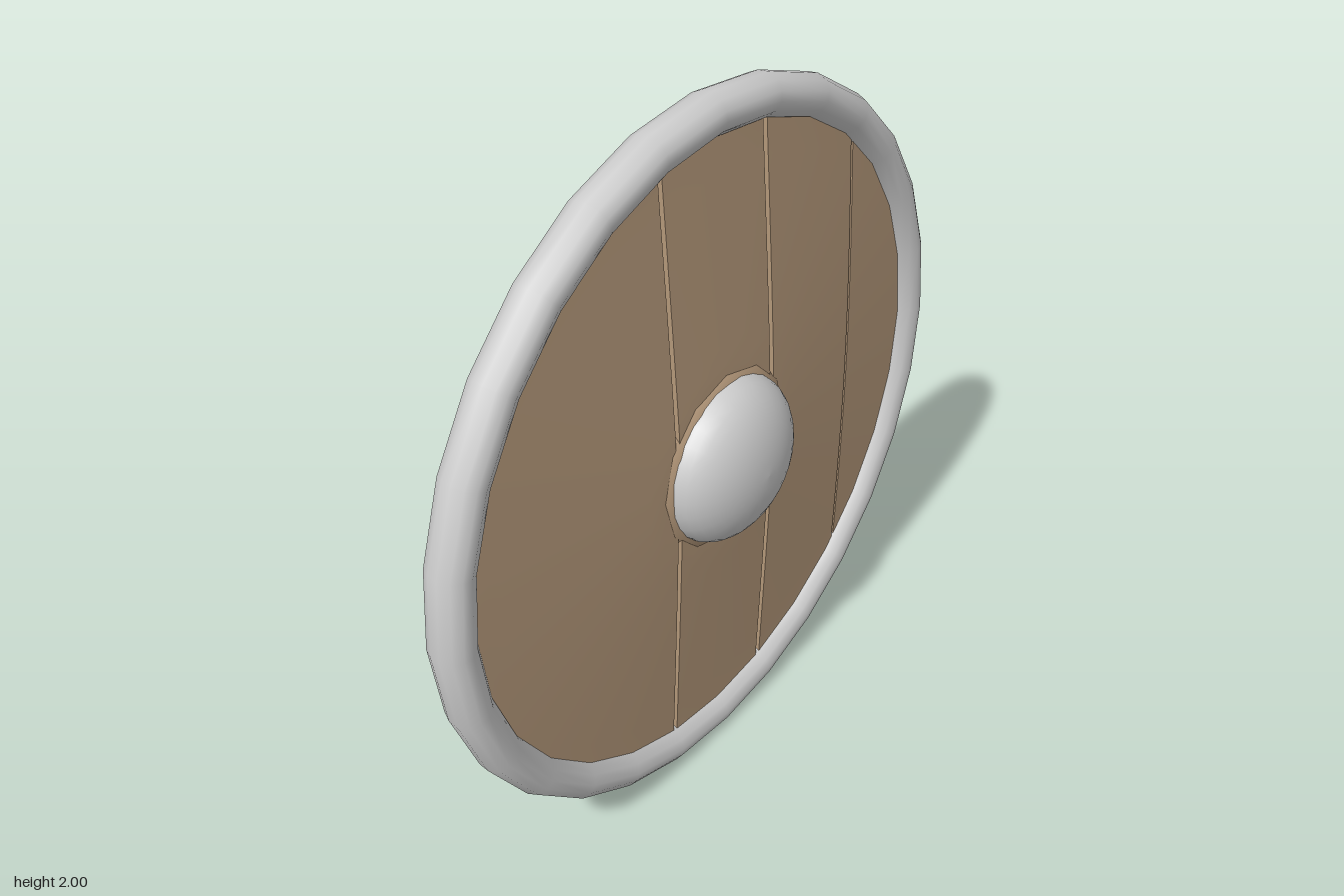
import * as THREE from 'three';
import { toCreasedNormals } from 'three/addons/utils/BufferGeometryUtils.js';

const grey = new THREE.MeshStandardMaterial({ color: 0xcccccc });
const wood = new THREE.MeshStandardMaterial({ color: 0xb4987a });
const woodThin = new THREE.MeshStandardMaterial({ color: 0xb4987a, side: THREE.DoubleSide });

const BOARD_R = 0.91;

// Front of the board: highest around the boss, sinking towards the rim
function boardFront(x, y) {
  const t = Math.max(0, (Math.hypot(x, y) - 0.25) / 0.65);
  return -0.005 - 0.035 * Math.min(1, t);
}

// One plank: a box bent to the round outline and the sloping front
function plankGeometry(x0, x1) {
  const geo = new THREE.BoxGeometry(1, 1, 1, 14, 32, 1);
  const p = geo.attributes.position;
  for (let i = 0; i < p.count; i++) {
    const x = x0 + (p.getX(i) + 0.5) * (x1 - x0);
    const half = Math.sqrt(Math.max(0, BOARD_R ** 2 - x * x));
    const y = p.getY(i) * 2 * half;
    p.setXYZ(i, x, y, p.getZ(i) > 0 ? boardFront(x, y) : -0.08);
  }
  return toCreasedNormals(geo, 0.6);
}

// Ring or dome turned about the z axis; points are [radius, z]
function turned(points, sides) {
  const geo = new THREE.LatheGeometry(points.map(([r, z]) => new THREE.Vector2(r, z)), sides);
  return geo.rotateX(Math.PI / 2);
}

// Uneven back panel: fan of rings from a bulged centre to an irregular outline
function backGeometry() {
  const outline = [
    [0.96, 0.136], [0.548, 0.788], [0.123, 0.946], [-0.084, 0.945], [-0.735, 0.575], [-0.916, 0.216],
    [-0.79, -0.54], [-0.22, -0.945], [0.277, -0.906], [0.832, -0.4], [0.948, -0.125],
  ];
  const n = outline.length, rings = 6;
  const pos = [0, 0, -0.133], index = [];
  for (let k = 1; k <= rings; k++) {
    const t = k / rings;
    for (const [x, y] of outline) pos.push(x * t, y * t, -0.133 + 0.013 * t * t);
  }
  for (let j = 0; j < n; j++) {
    const m = (j + 1) % n;
    index.push(0, 1 + j, 1 + m);
    for (let k = 0; k < rings - 1; k++) {
      const a = 1 + k * n + j, b = 1 + k * n + m;
      index.push(a, a + n, b, b, a + n, b + n);
    }
  }
  // Outline runs anticlockwise from the front, so flip it to face -z
  for (let i = 0; i < index.length; i += 3) [index[i], index[i + 1]] = [index[i + 1], index[i]];
  const geo = new THREE.BufferGeometry();
  geo.setAttribute('position', new THREE.Float32BufferAttribute(pos, 3));
  geo.setIndex(index);
  geo.computeVertexNormals();
  return geo;
}

export function createModel() {
  const shield = new THREE.Group();
  shield.name = 'roundShield';
  const add = (name, geo, mat) => {
    const mesh = new THREE.Mesh(geo, mat);
    mesh.name = name;
    mesh.position.y = 1;
    shield.add(mesh);
    return mesh;
  };

  // Planks, parted by narrow seams
  const spans = [[-BOARD_R, -0.207], [-0.193, 0.19], [0.206, 0.586], [0.594, BOARD_R]];
  spans.forEach(([a, b], i) => add('plank' + (i + 1), plankGeometry(a, b), wood));

  // Core that closes the seams
  const core = new THREE.CylinderGeometry(0.88, 0.88, 0.05, 28).rotateX(Math.PI / 2);
  core.translate(0, 0, -0.08);
  add('core', core, wood);

  add('backPanel', backGeometry(), woodThin);

  // Rim: 28-sided, rounded in front, flat behind
  const rim = turned([
    [0.84, -0.116], [0.965, -0.117], [0.985, -0.105], [0.997, -0.08], [1, -0.05], [0.988, -0.02],
    [0.965, -0.004], [0.94, 0], [0.915, -0.012], [0.895, -0.035], [0.885, -0.06], [0.84, -0.116],
  ], 28);
  const rimMat = grey.clone();
  rimMat.side = THREE.DoubleSide;
  add('rim', toCreasedNormals(rim, 0.75), rimMat);

  // Wooden collar around the boss
  add('collar', turned([[0.275, -0.03], [0.25, 0], [0.215, 0.012]], 12), woodThin);

  // Domed boss
  const dome = [];
  for (let i = 0; i <= 10; i++) {
    const a = (i / 10) * Math.PI / 2;
    dome.push([Math.max(0, 0.236 * Math.cos(a)), -0.008 + 0.141 * Math.sin(a)]);
  }
  add('boss', turned(dome, 28), grey);

  return shield;
}
